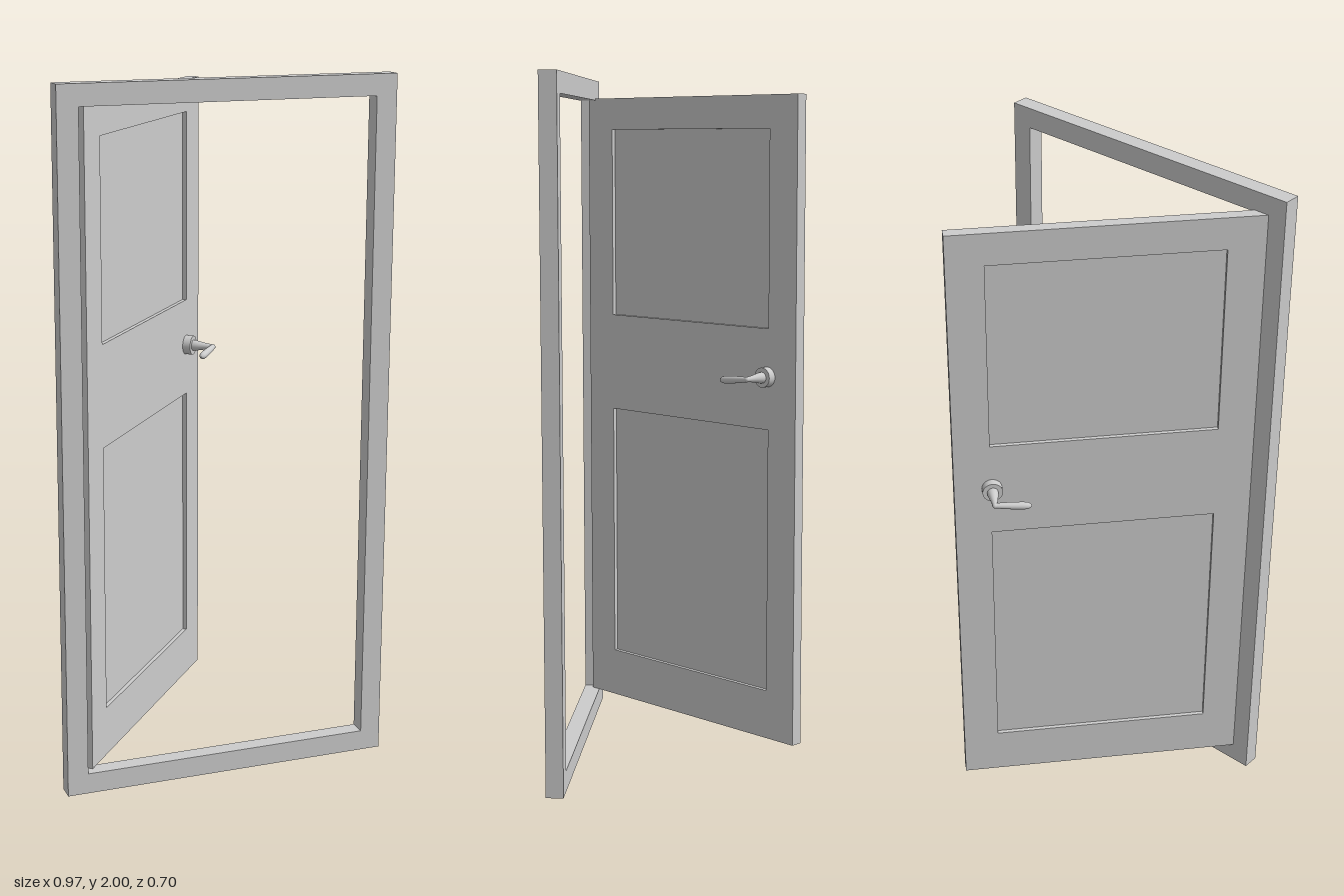
import * as THREE from 'three';

const grey = new THREE.MeshStandardMaterial({ color: 0xcccccc });

function addMesh(parent, name, geometry, x = 0, y = 0, z = 0) {
  const mesh = new THREE.Mesh(geometry, grey);
  mesh.name = name;
  mesh.position.set(x, y, z);
  parent.add(mesh);
  return mesh;
}

// Rectangular outline from two corners
function rect(Type, x0, y0, x1, y1) {
  const r = new Type();
  r.moveTo(x0, y0);
  r.lineTo(x1, y0);
  r.lineTo(x1, y1);
  r.lineTo(x0, y1);
  r.closePath();
  return r;
}

// Board with rectangular openings, from z = 0 to z = depth
function board(outer, holes, depth) {
  const shape = rect(THREE.Shape, ...outer);
  shape.holes = holes.map((h) => rect(THREE.Path, ...h));
  return new THREE.ExtrudeGeometry(shape, { depth, bevelEnabled: false });
}

const lathe = (points) =>
  new THREE.LatheGeometry(points.map(([r, y]) => new THREE.Vector2(r, y)), 24);

// Handle whose axis runs along +z from the door face, lever pointing to side * x
function makeHandle(name, side) {
  const handle = new THREE.Group();
  handle.name = name;

  const rosette = addMesh(handle, 'rosette', new THREE.CylinderGeometry(0.029, 0.029, 0.024, 32), 0, 0, 0.012);
  rosette.rotation.x = Math.PI / 2;

  const neck = addMesh(handle, 'neck', lathe([
    [0.016, 0], [0.016, 0.012], [0.013, 0.028], [0.009, 0.05], [0.0075, 0.068],
  ]), 0, 0, 0.02);
  neck.rotation.x = Math.PI / 2;

  addMesh(handle, 'elbow', new THREE.SphereGeometry(0.0078, 16, 12), 0, 0, 0.088);

  // Slightly drooping lever that swells towards its rounded tip
  const lever = addMesh(handle, 'lever', lathe([
    [0.0072, 0], [0.009, 0.02], [0.0105, 0.05], [0.011, 0.08],
    [0.0098, 0.093], [0.006, 0.101], [0, 0.104],
  ]), 0, 0, 0.088);
  lever.rotation.z = -side * (Math.PI / 2 + 0.09);
  return handle;
}

export function createModel() {
  const model = new THREE.Group();
  model.name = 'openDoor';

  // Surround standing in the wall plane
  addMesh(model, 'frame', board([-0.485, 0, 0.485, 2], [[-0.425, 0.06, 0.425, 1.94]], 0.05), 0, 0, 0.3);

  // Leaf swung open about its hinge edge
  const width = 0.862, thick = 0.035, recess = 0.012;
  const door = new THREE.Group();
  door.name = 'door';
  door.position.set(-0.43, 0, 0.3);
  door.rotation.y = THREE.MathUtils.degToRad(49.45);
  model.add(door);

  const panels = [[0.105, 0.205, 0.757, 0.985], [0.105, 1.28, 0.757, 1.85]];
  addMesh(door, 'doorLeaf', board([0, 0.06, width, 1.945], panels, thick));

  // Panels recessed on both faces
  panels.forEach(([x0, y0, x1, y1], i) => {
    addMesh(door, i ? 'upperPanel' : 'lowerPanel',
      new THREE.BoxGeometry(x1 - x0, y1 - y0, thick - 2 * recess),
      (x0 + x1) / 2, (y0 + y1) / 2, thick / 2);
  });

  // Lever handles on both faces, both pointing to the hinge
  const front = makeHandle('frontHandle', -1);
  front.position.set(0.754, 1.14, thick);
  const back = makeHandle('backHandle', 1);
  back.position.set(0.754, 1.14, 0);
  back.rotation.y = Math.PI;
  door.add(front, back);

  return model;
}
